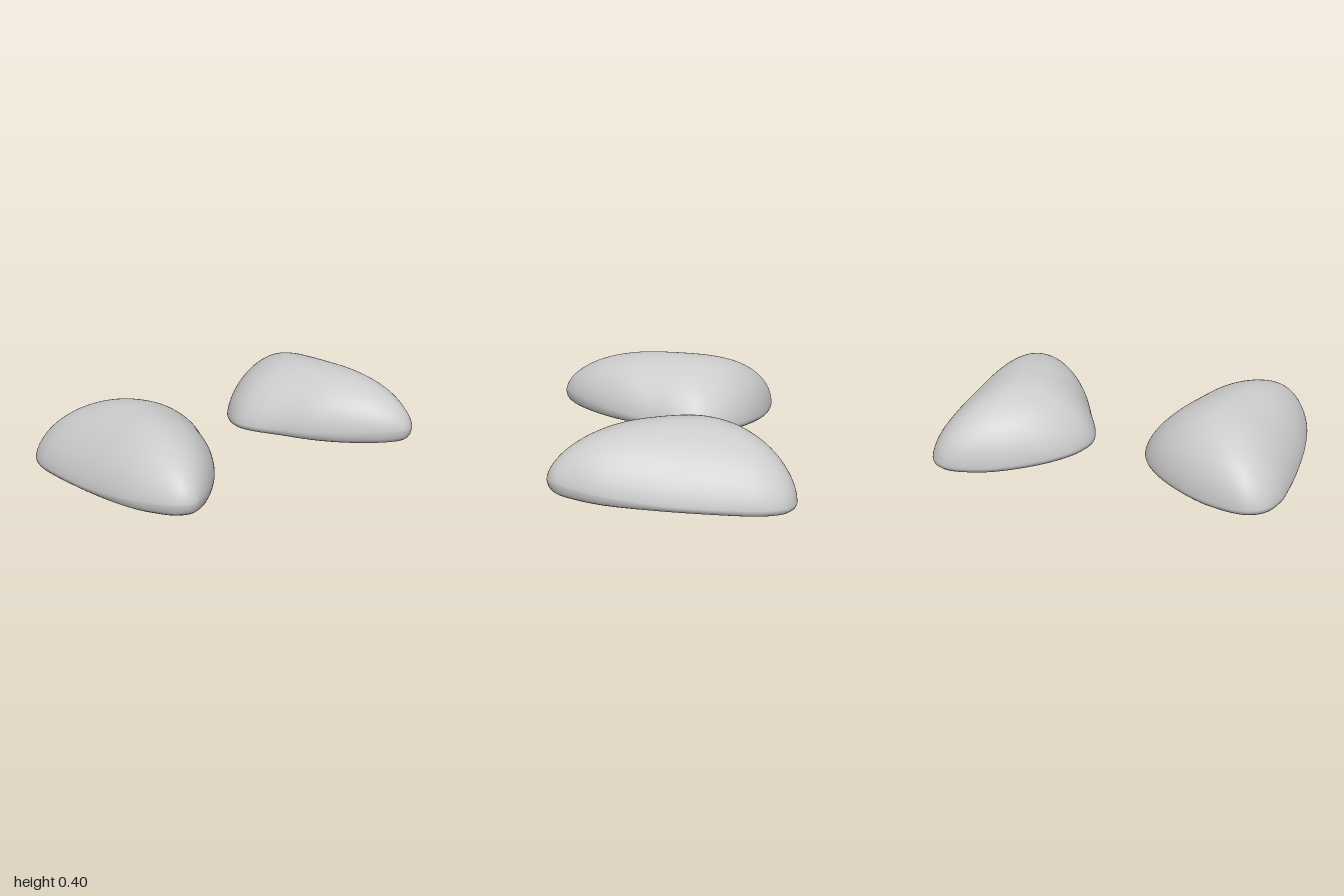
import * as THREE from 'three';

// Plan outline of the left shell as [x, z], counter-clockwise seen from above
const OUTLINE = [
  [0.79, -0.64], [0.62, -0.60], [0.45, -0.52], [0.30, -0.41], [0.20, -0.29], [0.157, -0.16],
  [0.18, -0.05], [0.25, 0.09], [0.34, 0.26], [0.45, 0.41], [0.58, 0.54], [0.68, 0.61],
  [0.755, 0.636], [0.83, 0.60], [0.90, 0.49], [0.95, 0.36], [0.985, 0.15], [1.0, -0.10],
  [0.999, -0.33], [0.985, -0.47], [0.94, -0.58], [0.87, -0.63],
];
const CREST = { x: 0.605, y: 0.405, z: -0.02 };
const SEGMENTS = 160;
const DOME_RINGS = 36;

// Rolled lip: [inset from outline, height from lip bottom (1 = widest level), extra height]
const LIP = [
  [0.002, 0.75, 0], [0.007, 0.45, 0], [0.017, 0.2, 0], [0.032, 0.04, 0], [0.05, 0, 0],
  [0.07, 0, 0.004], [0.09, 0, 0.012], [0.11, 0, 0.026], [0.13, 0, 0.044], [0.145, 0, 0.065],
];

// Height of the long crest line over its two ends
function crestHeight(z, minZ, maxZ) {
  const front = z > CREST.z;
  const s = Math.min(1, (z - CREST.z) / ((front ? maxZ : minZ) - CREST.z));
  const end = front ? 0.136 : 0.036;
  return end + (CREST.y - end) * Math.pow(1 - Math.pow(s, 2.45), front ? 0.59 : 0.55);
}

// Smallest and largest x of the outline at one z
function spanAt(rim, z) {
  let min = Infinity, max = -Infinity;
  rim.forEach((a, i) => {
    const b = rim[(i + 1) % rim.length];
    if (a.z === b.z || (a.z - z) * (b.z - z) > 0) return;
    const x = a.x + ((b.x - a.x) * (z - a.z)) / (b.z - a.z);
    min = Math.min(min, x);
    max = Math.max(max, x);
  });
  return [min, max];
}

// Cross-section arch: 1 on the crest line, 0 on the outline, fuller away from the widest section
function arch(rim, x, z) {
  const [min, max] = spanAt(rim, z);
  const crest = min + (max - min) * 0.51;
  const inner = x < crest;
  const t = Math.min(1, inner ? (crest - x) / (crest - min) : (x - crest) / (max - crest));
  const full = THREE.MathUtils.smoothstep(Math.abs(z + 0.16), 0, 0.5);
  const bend = inner ? 1.82 + 0.2 * full : 1.95;
  return Math.pow(1 - Math.pow(t, bend), inner ? 0.66 - 0.1 * full : 0.66);
}

function shellGeometry(side) {
  const curve = new THREE.CatmullRomCurve3(
    OUTLINE.map(([x, z]) => new THREE.Vector3(x, 0, z)), true, 'centripetal');
  const rim = curve.getSpacedPoints(SEGMENTS).slice(0, SEGMENTS).map(({ x, z }) => {
    const dx = x - CREST.x, dz = z - CREST.z;
    const front = THREE.MathUtils.smoothstep(z, -0.1, 0.64);
    const bottom = 0.036 + 0.055 * z + 0.022 * Math.max(0, (CREST.x - x) / 0.45) * (1 - front);
    return { x, z, dx, dz, radius: Math.hypot(dx, dz), bottom, wide: 0.032 + 0.034 * front };
  });
  const minZ = Math.min(...rim.map((r) => r.z));
  const maxZ = Math.max(...rim.map((r) => r.z));

  const positions = [side * CREST.x, CREST.y, CREST.z];

  // Dome rings from the crest out to the widest level
  for (let i = 1; i <= DOME_RINGS; i++) {
    const s = Math.sin((i / DOME_RINGS) * Math.PI / 2);
    for (const r of rim) {
      const x = CREST.x + r.dx * s, z = CREST.z + r.dz * s;
      const base = r.bottom + r.wide;
      const rise = i < DOME_RINGS ? Math.max(0, crestHeight(z, minZ, maxZ) - base) * arch(rim, x, z) : 0;
      positions.push(side * x, base + rise, z);
    }
  }
  // Lip rings rolling under into the hollow
  for (const [inset, level, rise] of LIP) {
    for (const r of rim) {
      const s = 1 - inset / r.radius;
      positions.push(side * (CREST.x + r.dx * s), r.bottom + r.wide * level + rise, CREST.z + r.dz * s);
    }
  }

  const index = [];
  const tri = (a, b, c) => (side > 0 ? index.push(a, b, c) : index.push(a, c, b));
  const at = (ring, j) => 1 + ring * SEGMENTS + (j % SEGMENTS);
  for (let j = 0; j < SEGMENTS; j++) {
    tri(0, at(0, j), at(0, j + 1));
    for (let i = 0; i < DOME_RINGS + LIP.length - 1; i++) {
      tri(at(i, j), at(i + 1, j), at(i + 1, j + 1));
      tri(at(i, j), at(i + 1, j + 1), at(i, j + 1));
    }
  }

  const geometry = new THREE.BufferGeometry();
  geometry.setAttribute('position', new THREE.Float32BufferAttribute(positions, 3));
  geometry.setIndex(index);
  geometry.computeVertexNormals();
  return geometry;
}

export function createModel() {
  const group = new THREE.Group();
  const material = new THREE.MeshStandardMaterial({ color: 0xcccccc, side: THREE.DoubleSide });
  for (const [name, side] of [['leftShell', 1], ['rightShell', -1]]) {
    const shell = new THREE.Mesh(shellGeometry(side), material);
    shell.name = name;
    group.add(shell);
  }
  return group;
}
